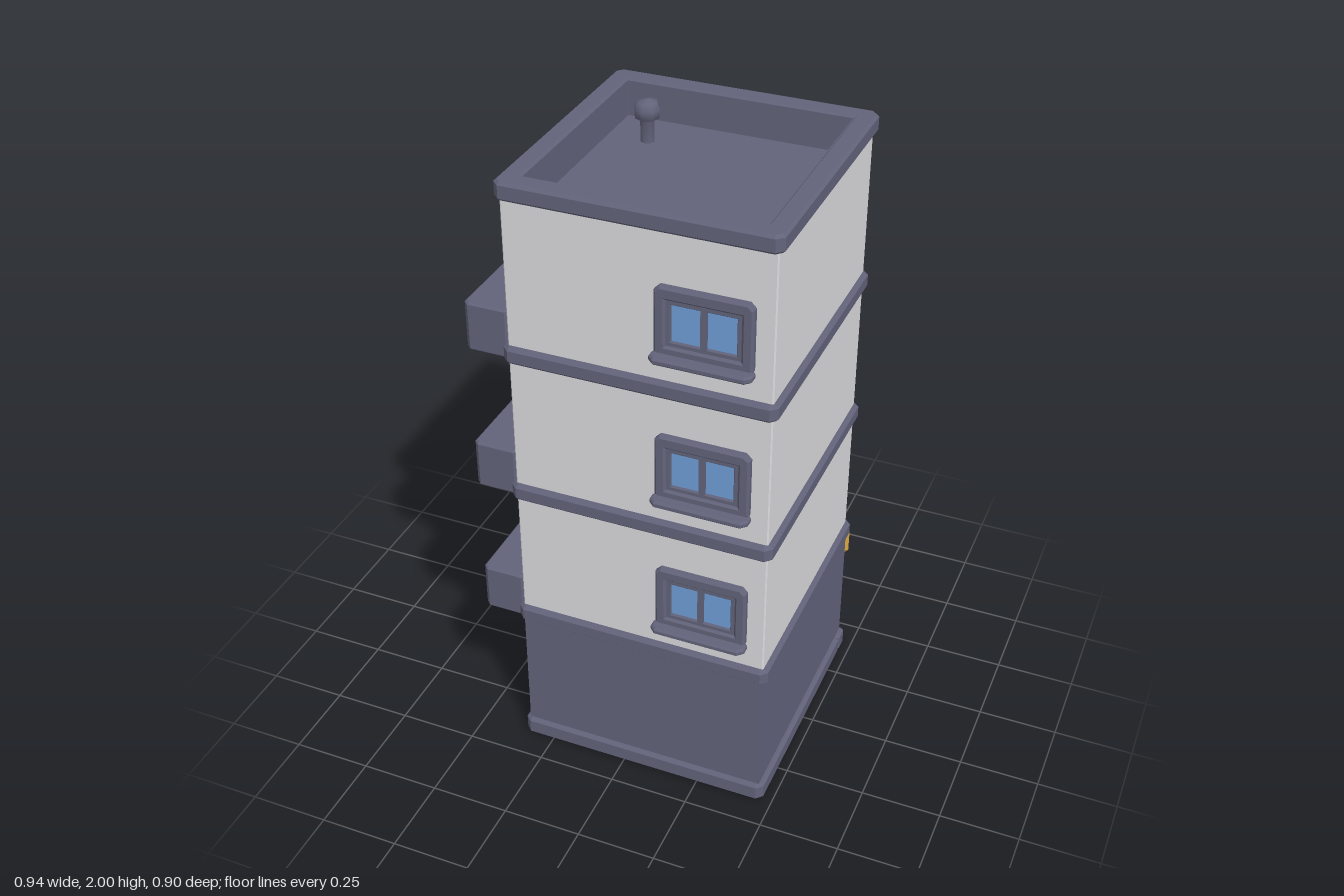
import * as THREE from 'three';

const CX = 0.06; // centre of the tower; balconies hang off the -x side
const mat = (name, color) => {
  const m = new THREE.MeshStandardMaterial({ color });
  m.name = name;
  return m;
};

function chamferedRect(w, h, c, Type = THREE.Shape) {
  const x = w / 2, y = h / 2;
  const pts = [[x - c, -y], [x, -y + c], [x, y - c], [x - c, y], [-x + c, y], [-x, y - c], [-x, -y + c], [-x + c, -y]];
  return new Type(pts.map(([a, b]) => new THREE.Vector2(a, b)));
}

// Plate in the XY plane with bevelled edges and an optional opening, centred in z
function plate(w, h, d, b = 0.006, hole = null, c = b) {
  const s = chamferedRect(w - 2 * b, h - 2 * b, c);
  if (hole) s.holes.push(chamferedRect(hole[0] + 2 * b, hole[1] + 2 * b, 0.001, THREE.Path));
  const g = new THREE.ExtrudeGeometry(s, {
    depth: d - 2 * b, bevelEnabled: b > 0, bevelSize: b, bevelThickness: b, bevelSegments: 1,
  });
  return g.translate(0, 0, -(d - 2 * b) / 2);
}

// The same plate lying flat: w along x, d along z, h along y
const slab = (w, h, d, b, hole, c) => plate(w, d, h, b, hole, c).rotateX(-Math.PI / 2);

export function createModel() {
  const root = new THREE.Group();
  root.name = 'apartmentTower';
  const trim = mat('slate trim', 0x62637a);
  const plaster = mat('pale plaster', 0xdbdade);
  const glass = mat('blue glass', 0x6f9ed8);
  const gold = mat('awning gold', 0xd9a441);

  const add = (parent, name, geo, material, x = 0, y = 0, z = 0) => {
    const m = new THREE.Mesh(geo, material);
    m.name = name;
    m.position.set(x, y, z);
    parent.add(m);
    return m;
  };
  const box = (parent, name, material, w, h, d, x, y, z) =>
    add(parent, name, new THREE.BoxGeometry(w, h, d), material, x, y, z);
  const group = (name, x, y, z, turn = 0) => {
    const g = new THREE.Group();
    g.name = name;
    g.position.set(x, y, z);
    g.rotation.y = turn;
    root.add(g);
    return g;
  };

  // Ground floor: core set back behind the shop front
  box(root, 'groundFloor', trim, 0.79, 0.48, 0.765, CX, 0.24, 0.0125);
  add(root, 'plinth', slab(0.82, 0.06, 0.78, 0.008, null, 0.015), trim, CX, 0.03, 0.02);
  [[0.365, 0.455], [-0.035, 0.115], [-0.335, -0.285]].forEach(([a, b]) => {
    box(root, 'shopPilaster', trim, b - a, 0.48, 0.045, (a + b) / 2, 0.24, -0.3825);
    const l = a < -0.3 ? a - 0.015 : a, r = b > 0.4 ? b + 0.015 : b;
    add(root, 'pilasterBase', slab(r - l, 0.06, 0.06, 0.006), trim, (l + r) / 2, 0.03, -0.385);
  });
  box(root, 'shopLintel', trim, 0.79, 0.14, 0.045, CX, 0.41, -0.3825);

  // Upper walls, hollow at the top for the sunken roof
  add(root, 'upperWalls', slab(0.79, 1.42, 0.79, 0, [0.72, 0.72], 0.004), plaster, CX, 1.23, 0);
  add(root, 'parapetLining', slab(0.73, 0.11, 0.73, 0, [0.695, 0.69], 0.001), trim, CX, 1.925, 0);
  box(root, 'roofFloor', trim, 0.73, 0.03, 0.73, CX, 1.855, 0);
  add(root, 'parapetCap', slab(0.82, 0.055, 0.825, 0.008, [0.695, 0.69], 0.016), trim, CX, 1.9575, 0);
  [0.5075, 0.9725, 1.4475].forEach((y) =>
    add(root, 'floorBand', slab(0.82, 0.055, 0.825, 0.01, null, 0.014), trim, CX, y, 0));

  // Window facing local +z, its bottom at the origin
  function addWindow(name, w, h, x, y, z, turn, casement) {
    const g = group(name, x, y, z, turn);
    const iw = w - 0.07, ih = h - 0.08;
    add(g, 'frame', plate(w, h, 0.028, 0.007, [iw, ih], 0.012), trim, 0, h / 2, 0.006);
    add(g, 'pane', new THREE.PlaneGeometry(iw + 0.02, ih + 0.02), glass, 0, h / 2, 0.004);
    const mid = casement ? [0.018, ih] : [iw, 0.018];
    box(g, 'centreBar', trim, mid[0], mid[1], 0.012, 0, h / 2, 0.008);
    add(g, 'sash', plate(iw + 0.01, ih + 0.01, 0.014, 0.002, [iw - 0.026, ih - 0.026]), trim, 0, h / 2, 0.006);
    add(g, 'sill', slab(w + 0.012, 0.022, 0.06, 0.006, null, 0.014), trim, 0, 0.006, 0.024);
  }

  [0.48, 0.95, 1.425].forEach((y) => {
    addWindow('frontWindow', 0.285, 0.22, 0.2575, y + 0.13, 0.395, 0, true);
    [-0.135, 0.26].forEach((x) => addWindow('backWindow', 0.19, 0.27, x, y + 0.08, -0.395, Math.PI, false));
    addWindow('balconyWindow', 0.18, 0.27, -0.335, y + 0.08, 0.195, -Math.PI / 2, false);

    // Balcony: open tray with a solid railing
    const b = group('balcony', -0.402, y, 0.195);
    add(b, 'railing', slab(0.146, 0.155, 0.39, 0.006, [0.116, 0.352], 0.012), trim, 0, 0.0775, 0);
    box(b, 'balconyFloor', trim, 0.126, 0.035, 0.365, 0, 0.0185, 0);
  });

  // Shop window
  const shop = group('shopWindow', 0.24, 0, -0.37, Math.PI);
  add(shop, 'shopFrame', plate(0.25, 0.24, 0.03, 0.005, [0.2, 0.2]), trim, 0, 0.23, 0.01);
  add(shop, 'shopGlass', new THREE.PlaneGeometry(0.21, 0.21), glass, 0, 0.235, 0.004);
  box(shop, 'shopDisplayStrip', gold, 0.2, 0.045, 0.006, 0, 0.153, 0.006);
  box(shop, 'shopLowerPanel', trim, 0.25, 0.115, 0.025, 0, 0.0575, 0.0125);

  // Double entrance door
  const door = group('entranceDoor', -0.16, 0, -0.37, Math.PI);
  add(door, 'doorFrame', plate(0.25, 0.345, 0.03, 0.005, [0.205, 0.29]), trim, 0, 0.1725, 0.01);
  [-1, 1].forEach((s) => {
    add(door, 'doorLeaf', plate(0.104, 0.295, 0.016, 0.003, [0.074, 0.255]), trim, s * 0.052, 0.1725, 0.008);
    add(door, 'doorGlass', new THREE.PlaneGeometry(0.08, 0.26), glass, s * 0.052, 0.1725, 0.004);
    box(door, 'doorHandle', trim, 0.014, 0.06, 0.014, s * 0.022, 0.175, 0.032);
    box(door, 'handleMount', trim, 0.012, 0.014, 0.02, s * 0.018, 0.175, 0.02);
  });

  // Shop awning: dark backing with a gold fascia
  box(root, 'awningBacking', trim, 0.77, 0.105, 0.035, CX, 0.42, -0.4125);
  add(root, 'awningFascia', plate(0.787, 0.12, 0.026, 0.01, null, 0.012), gold, CX + 0.003, 0.42, -0.442);

  // Drainpipe with collars and an elbow into the wall
  const pipe = group('drainpipe', -0.368, 0, -0.34);
  const tube = (name, r, len, x, y) => add(pipe, name, new THREE.CylinderGeometry(r, r, len, 8), trim, x, y, 0);
  tube('pipeShaft', 0.016, 1.82, 0, 0.96);
  [0.33, 0.69, 1.05, 1.41, 1.77].forEach((y) => tube('pipeCollar', 0.024, 0.03, 0, y));
  add(pipe, 'pipeElbow', new THREE.SphereGeometry(0.021, 8, 6), trim, 0, 1.87, 0);
  tube('pipeOutlet', 0.018, 0.05, 0.022, 1.872).rotation.z = Math.PI / 2;

  // Roof vent with a rounded cowl
  const profile = [[0.022, 0], [0.022, 0.065], [0.038, 0.075], [0.04, 0.1], [0.03, 0.122], [0, 0.13]];
  add(root, 'roofVent', new THREE.LatheGeometry(profile.map(([r, y]) => new THREE.Vector2(r, y)), 8),
    trim, -0.165, 1.87, -0.205);

  return root;
}
